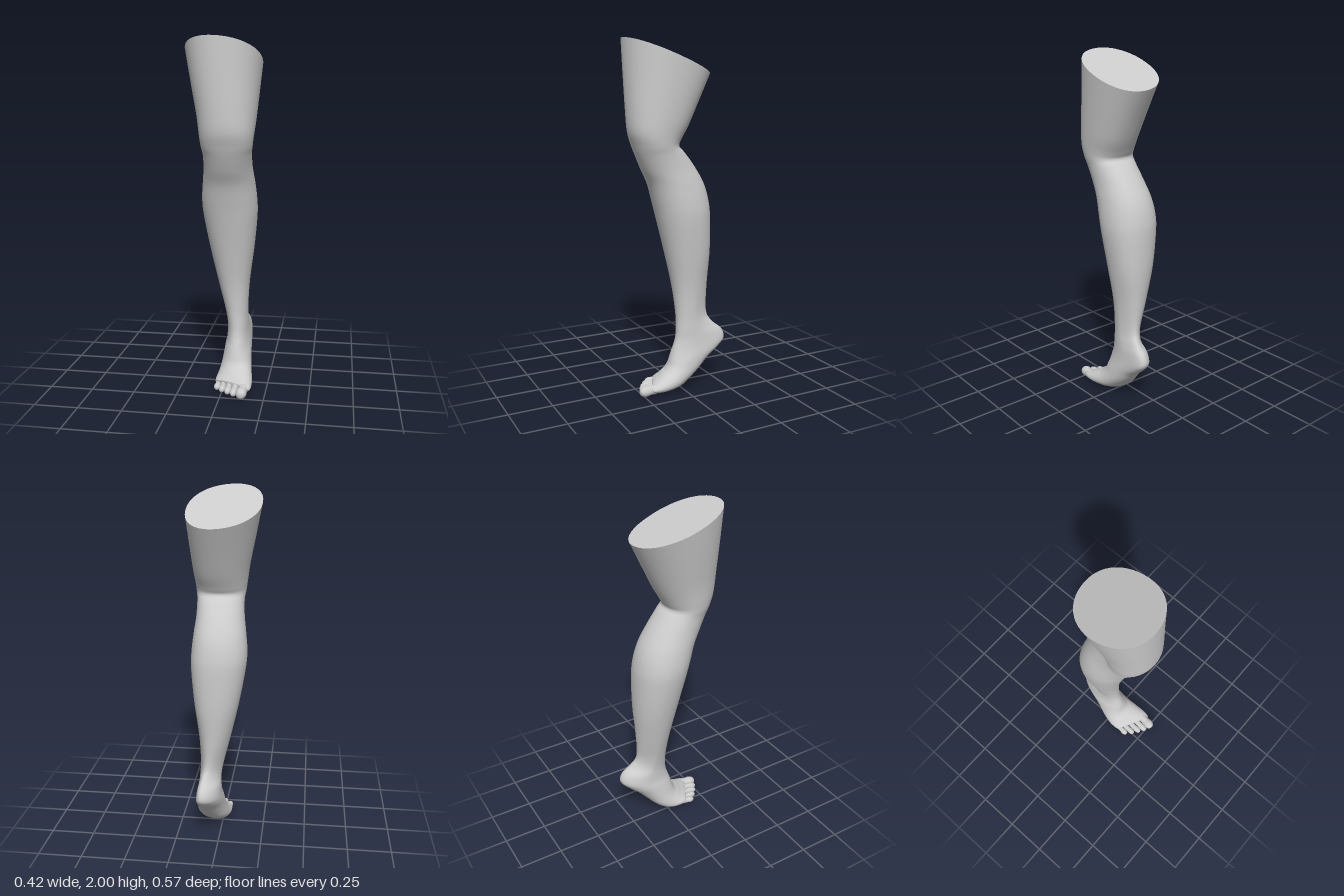
import * as THREE from 'three';

const SIDES = 56, STEPS = 6;

// Cross-sections, top to bottom:
// front y, z | back y, z | x min, max | back x offset, yaw shear, back pinch, side tilt
const LEG = [
  [2.00, .285, 1.81, -.185, -.21, .207, .01, -.13, 0, -.09],
  [1.80, .285, 1.66, -.115, -.175, .194, .01, -.1, 0, -.07],
  [1.62, .285, 1.53, -.055, -.143, .182, .01, -.05, 0, -.04],
  [1.50, .28, 1.45, -.012, -.128, .172, .01],
  [1.42, .257, 1.415, 0, -.12, .165, .01],
  [1.36, .235, 1.38, -.035, -.113, .158, .01],
  [1.28, .2, 1.3, -.1, -.118, .157, .01],
  [1.20, .16, 1.2, -.16, -.132, .166, .01],
  [1.10, .13, 1.1, -.19, -.142, .175, .01],
  [1.00, .105, 1.0, -.2, -.135, .175, .01],
  [.80, .06, .8, -.2, -.1, .155, .01],
  [.60, .022, .6, -.186, -.055, .13, .01, 0, .15],
];
const FOOT = [
  [.44, .008, .44, -.178, -.016, .121, .015, 0, .3],
  [.34, .01, .375, -.21, -.002, .124, .025, 0, .3],
  [.285, .018, .325, -.268, -.004, .128, .03, 0, .1],
  [.24, .033, .27, -.285, -.008, .133, .03],
  [.205, .045, .225, -.25, -.015, .138, .025],
  [.17, .056, .17, -.185, -.02, .143, .015, .05],
  [.14, .067, .11, -.13, -.026, .148, .01, .1],
  [.115, .087, .055, -.075, -.034, .156, 0, .2],
  [.1, .11, .015, -.015, -.042, .165, 0, .3],
  [.085, .13, .002, .05, -.048, .17, 0, .4],
  [.073, .15, .003, .11, -.049, .169, 0, .45],
  [.06, .168, .012, .15, -.045, .16, 0, .5],
];

// Smoothly interpolated value of one column of the section table
function spline(rows, col, u) {
  const i = Math.min(Math.floor(u), rows.length - 2), t = u - i;
  const v = k => rows[Math.max(0, Math.min(rows.length - 1, k))][col] ?? 0;
  const [a, b, c, d] = [v(i - 1), v(i), v(i + 1), v(i + 2)];
  return b + .5 * t * (c - a + t * (2 * a - 5 * b + 4 * c - d + t * (3 * (b - c) + d - a)));
}

function ring(rows, u) {
  const [yf, zf, yb, zb, x0, x1, skew, shear, pinch, tilt] =
    Array.from({ length: 10 }, (_, col) => spline(rows, col, u));
  const round = v => Math.sign(v) * Math.abs(v) ** .93;
  const points = [];
  for (let j = 0; j < SIDES; j++) {
    const a = j / SIDES * Math.PI * 2;
    const s = round(Math.sin(a)), c = round(Math.cos(a));
    const back = Math.max(0, -c);
    const dx = s * (x1 - x0) / 2 * (1 - pinch * back);
    points.push(new THREE.Vector3(
      (x0 + x1) / 2 + dx + skew * back * back,
      (yf + yb) / 2 + c * (yf - yb) / 2 + tilt * dx,
      (zf + zb) / 2 + c * (zf - zb) / 2 + shear * dx));
  }
  return points;
}

// Skin through the rings, with a fan closing the far end
function loft(rings) {
  const pos = [], index = [];
  rings.forEach(r => r.forEach(p => pos.push(p.x, p.y, p.z)));
  for (let i = 0; i < rings.length - 1; i++) {
    for (let j = 0; j < SIDES; j++) {
      const k = (j + 1) % SIDES;
      const a = i * SIDES + j, b = i * SIDES + k;
      index.push(a, a + SIDES, b, b, a + SIDES, b + SIDES);
    }
  }
  const last = rings[rings.length - 1], base = (rings.length - 1) * SIDES;
  const mid = last.reduce((m, p) => m.add(p), new THREE.Vector3()).divideScalar(SIDES);
  pos.push(mid.x, mid.y, mid.z + .008);
  for (let j = 0; j < SIDES; j++) index.push(base + j, base + SIDES, base + (j + 1) % SIDES);
  return geometry(pos, index);
}

// Flat lid over the cut thigh
function lid(points) {
  const pos = points.flatMap(p => [p.x, p.y, p.z]), index = [];
  for (let j = 1; j < SIDES - 1; j++) index.push(0, j, j + 1);
  return geometry(pos, index);
}

function geometry(pos, index) {
  const g = new THREE.BufferGeometry();
  g.setAttribute('position', new THREE.Float32BufferAttribute(pos, 3));
  g.setIndex(index);
  g.computeVertexNormals();
  return g;
}

// Toe: slim neck, rounded bulb, pointing from base to tip
function toe(base, tip, r) {
  const from = new THREE.Vector3(...base), dir = new THREE.Vector3(...tip).sub(from);
  const len = dir.length();
  const profile = new THREE.SplineCurve([
    [.75, 0], [.9, .3], [.88, .5], [1, .74], [.75, .92], [.4, .985], [0, 1],
  ].map(([x, y]) => new THREE.Vector2(x * r, y * len))).getPoints(24);
  profile.forEach(p => { p.x = Math.max(0, p.x); });
  const g = new THREE.LatheGeometry(profile, 20);
  g.applyQuaternion(new THREE.Quaternion().setFromUnitVectors(new THREE.Vector3(0, 1, 0), dir.normalize()));
  g.translate(from.x, from.y, from.z);
  return g;
}

export function createModel() {
  const model = new THREE.Group();
  model.name = 'leg';
  const material = new THREE.MeshStandardMaterial({ color: 0xcccccc });
  const add = (name, g) => {
    const mesh = new THREE.Mesh(g, material);
    mesh.name = name;
    model.add(mesh);
  };

  // Thigh, knee, calf, ankle and foot in one smooth skin
  const rows = [...LEG, ...FOOT], rings = [];
  for (let i = 0; i <= (rows.length - 1) * STEPS; i++) rings.push(ring(rows, i / STEPS));
  add('legAndFoot', loft(rings));
  add('thighCap', lid(rings[0]));

  // Toes, from the big toe outwards
  add('bigToe', toe([.133, .04, .15], [.119, .028, .276], .031));
  add('secondToe', toe([.083, .044, .14], [.076, .024, .257], .021));
  add('thirdToe', toe([.044, .04, .12], [.04, .024, .235], .02));
  add('fourthToe', toe([.008, .036, .1], [.004, .023, .208], .019));
  add('littleToe', toe([-.024, .031, .08], [-.03, .022, .175], .019));
  return model;
}
